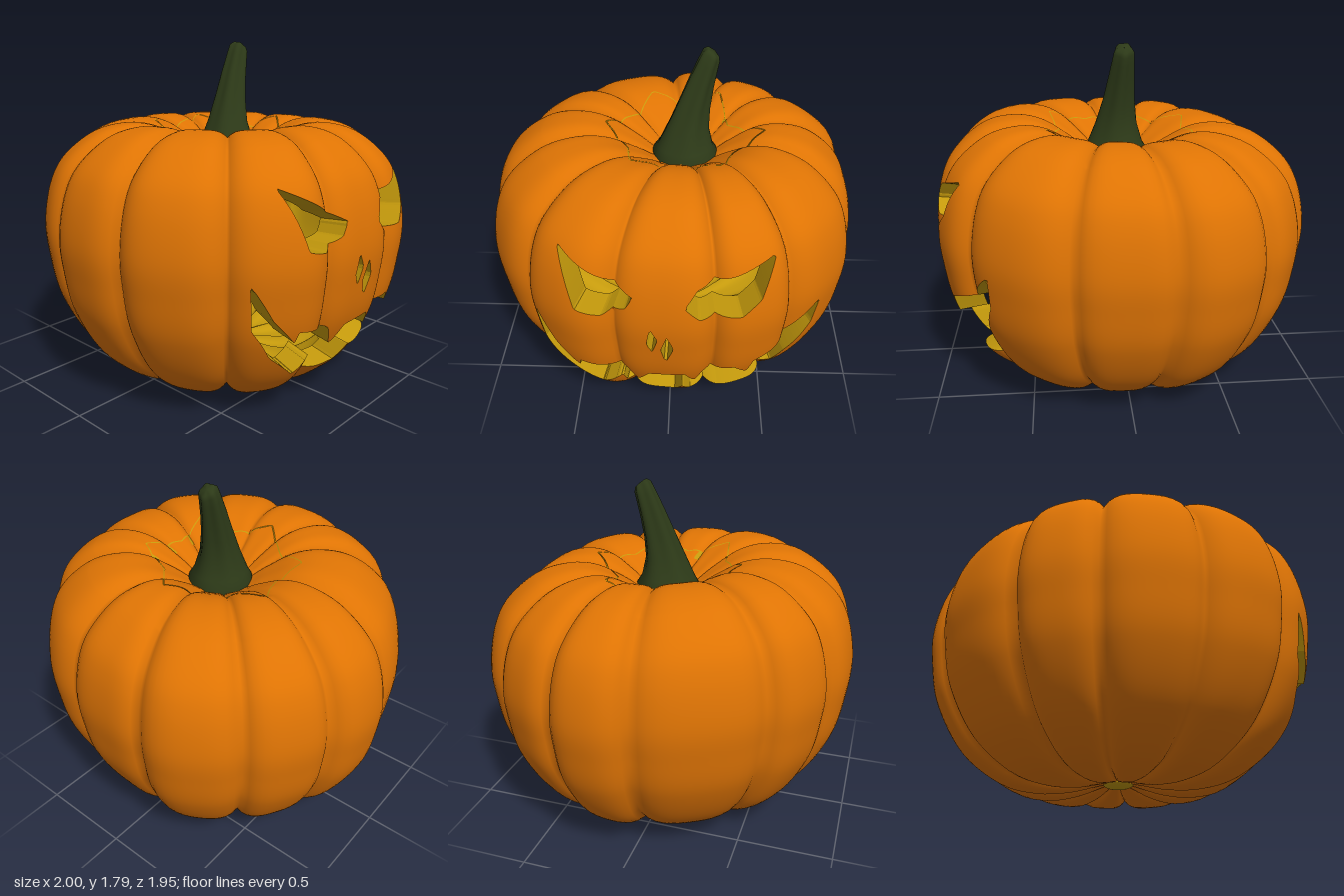
import * as THREE from 'three';
import { mergeVertices } from 'three/addons/utils/BufferGeometryUtils.js';

const ORANGE = new THREE.MeshStandardMaterial({ color: 0xdf7404 });
const YELLOW = new THREE.MeshStandardMaterial({ color: 0xc59a0c });
const GREEN = new THREE.MeshStandardMaterial({ color: 0x2d3a18 });
const CENTRE = new THREE.Vector3(0.03, 0.7, -0.06);
const INNER = new THREE.Vector3(0.83, 0.94, 0.93); // the cavity is the skin shrunk toward the centre
const SEAM = 0.003; // half the gap around the lid

// Groove directions in degrees (0 = +x, 90 = +z) and the radius of the lobe after each groove
const GROOVES = [-162, -136, -104, -73, -35, -10, 19, 48, 78, 107, 132, 173, 198];
const LOBES = [1.0, 0.99, 0.91, 0.945, 0.97, 0.97, 1.055, 1.05, 1.03, 1.01, 0.985, 1.03];

// Lobe crest, from the bottom centre to the top centre (radius, height)
const PROFILE = new THREE.SplineCurve([
  [0.01, 0.07], [0.1, 0.05], [0.25, 0.015], [0.42, 0.01], [0.6, 0.06], [0.8, 0.22],
  [0.94, 0.47], [0.99, 0.7], [1, 0.88], [0.96, 1.08], [0.88, 1.22], [0.72, 1.34],
  [0.55, 1.38], [0.4, 1.36], [0.25, 1.28], [0.14, 1.21], [0.01, 1.2],
].map(([r, y]) => new THREE.Vector2(r, y)));

// Face cut-outs on the +x side (z, y)
const FACE = [
  [[0.5, 1.22], [0.28, 1.1], [0.155, 1.03], [0.19, 0.965], [0.3, 0.91], [0.425, 0.94]],
  [[-0.08, 0.99], [-0.135, 1.075], [-0.26, 1.11], [-0.49, 1.18], [-0.43, 0.99], [-0.345, 0.915], [-0.15, 0.915]],
  [[0.08, 0.865], [0.045, 0.79], [0.07, 0.7], [0.097, 0.755]],
  [[0, 0.82], [-0.03, 0.73], [0.008, 0.62], [0.03, 0.72]],
  [[0.645, 0.81], [0.55, 0.63], [0.435, 0.495], [0.43, 0.555], [0.36, 0.54], [0.2, 0.51], [0.15, 0.39],
    [0.095, 0.49], [-0.085, 0.505], [-0.13, 0.405], [-0.17, 0.5], [-0.325, 0.53], [-0.39, 0.45],
    [-0.42, 0.555], [-0.55, 0.61], [-0.745, 0.79], [-0.72, 0.62], [-0.6, 0.405], [-0.545, 0.265],
    [-0.255, 0.21], [-0.115, 0.2], [-0.07, 0.315], [-0.03, 0.21], [0.165, 0.23], [0.22, 0.24],
    [0.235, 0.36], [0.34, 0.275], [0.51, 0.42], [0.615, 0.58]],
];

// Star-shaped lid outline (x, z)
const LID = [[0.04, -0.48], [0.2, -0.31], [0.4, -0.24], [0.33, -0.03], [0.385, 0.2], [0.18, 0.23],
  [0, 0.36], [-0.17, 0.2], [-0.365, 0.13], [-0.33, -0.03], [-0.395, -0.25], [-0.13, -0.29]];

// Signed distance to a polygon, negative inside
function distanceTo(poly, px, py) {
  let best = Infinity, inside = false;
  poly.forEach(([ax, ay], i) => {
    const [bx, by] = poly[(i + 1) % poly.length];
    const ex = bx - ax, ey = by - ay;
    const t = THREE.MathUtils.clamp(((px - ax) * ex + (py - ay) * ey) / (ex * ex + ey * ey), 0, 1);
    best = Math.min(best, Math.hypot(px - ax - t * ex, py - ay - t * ey));
    if ((ay > py) !== (by > py) && px < ax + ((py - ay) * ex) / ey) inside = !inside;
  });
  return inside ? -best : best;
}

// Point on the skin: lobe i, position s across it (-1..1), crest point c
function skinPoint(i, s, c) {
  const n = LOBES.length;
  const angle = THREE.MathUtils.degToRad(THREE.MathUtils.lerp(GROOVES[i], GROOVES[i + 1], (s + 1) / 2));
  const next = LOBES[(i + (s < 0 ? n - 1 : 1)) % n];
  const lobe = THREE.MathUtils.lerp(LOBES[i], (LOBES[i] + next) / 2, s * s);
  const k = 1 - 0.062 * Math.abs(s) ** 4 * Math.min(1, c.x / 0.3);
  const r = c.x * lobe * k;
  const lean = 0.035 * c.x * c.y * (Math.cos(angle) + Math.sin(angle)) / 1.4;
  return new THREE.Vector3(
    CENTRE.x + r * Math.cos(angle), 0.7 + (c.y - 0.7) * k + lean, CENTRE.z + r * Math.sin(angle));
}

// Grid of skin points, finer around the face
function skinGrid() {
  const crest = [];
  for (let seg = 0; seg < 16; seg++) {
    const n = seg >= 4 && seg < 11 ? 10 : 4;
    for (let k = 0; k < n; k++) crest.push(PROFILE.getPoint((seg + k / n) / 16));
  }
  crest.push(PROFILE.getPoint(1));
  const columns = [];
  LOBES.forEach((_, i) => {
    const n = i >= 3 && i <= 7 ? 34 : 14;
    for (let k = 0; k < n; k++) columns.push(crest.map((c) => skinPoint(i, (2 * k) / n - 1, c)));
  });
  for (const column of columns) {
    for (const p of column) {
      p.lid = p.y > 0.9 ? distanceTo(LID, p.x, p.z) : 1;
      p.face = p.x > 0.3 ? Math.min(...FACE.map((f) => distanceTo(f, p.z, p.y))) : 1;
    }
  }
  return columns;
}

const inward = (p) => p.clone().sub(CENTRE).multiply(INNER).add(CENTRE);

function triangles(points, smooth) {
  let g = new THREE.BufferGeometry().setFromPoints(points);
  if (smooth) g = mergeVertices(g, 1e-5);
  g.computeVertexNormals();
  return g;
}

// Keeps the part of the skin where keep(p) >= 0, with cavity side and cut walls
function carve(columns, keep, name) {
  const outer = [], inner = [], walls = [];
  const addTriangle = (corners) => {
    const poly = [];
    let exit, entry;
    corners.forEach((a, i) => {
      const b = corners[(i + 1) % 3], ka = keep(a), kb = keep(b);
      if (ka >= 0) poly.push(a);
      if ((ka >= 0) !== (kb >= 0)) {
        const cut = a.clone().lerp(b, ka / (ka - kb));
        poly.push(cut);
        if (ka >= 0) exit = cut; else entry = cut;
      }
    });
    for (let i = 1; i + 1 < poly.length; i++) {
      outer.push(poly[0], poly[i], poly[i + 1]);
      inner.push(inward(poly[0]), inward(poly[i + 1]), inward(poly[i]));
    }
    if (exit) {
      const p = inward(exit), q = inward(entry);
      walls.push(exit, p, q, exit, q, entry);
    }
  };
  columns.forEach((col, i) => {
    const next = columns[(i + 1) % columns.length];
    for (let j = 0; j + 1 < col.length; j++) {
      addTriangle([col[j], col[j + 1], next[j + 1]]);
      addTriangle([col[j], next[j + 1], next[j]]);
    }
  });
  const group = new THREE.Group();
  group.name = name;
  group.add(part('skin', triangles(outer, true), ORANGE));
  group.add(part('cavity', triangles(inner, true), YELLOW));
  group.add(part('cutWalls', triangles(walls, false), YELLOW));
  return group;
}

function part(name, geometry, material) {
  const mesh = new THREE.Mesh(geometry, material);
  mesh.name = name;
  return mesh;
}

// Ribbed, leaning stem: rings of [x, y, z, radius, tilt], closed by a rounded cap
function stemGeometry() {
  const rings = [[0.03, 1.18, -0.06, 0.165, 0], [0.03, 1.23, -0.06, 0.17, 0], [0.03, 1.27, -0.06, 0.145, 0],
    [0.025, 1.38, -0.075, 0.105, 0.1], [0.015, 1.5, -0.105, 0.08, 0.25], [0.005, 1.62, -0.14, 0.065, 0.4],
    [-0.002, 1.71, -0.17, 0.055, 0.55], [-0.005, 1.755, -0.186, 0.05, 0.65],
    [-0.005, 1.772, -0.196, 0.037, 0.7], [-0.005, 1.775, -0.198, 0.001, 0.7]];
  const sides = 40;
  const loops = rings.map(([x, y, z, r, tilt], j) => Array.from({ length: sides }, (_, i) => {
    const a = (i / sides) * Math.PI * 2;
    const rr = r * (1 + 0.09 * Math.cos(5 * a + j * 0.25) * Math.min(1, Math.max(0, j - 1) / 3));
    return new THREE.Vector3(x + rr * Math.cos(a), y + rr * Math.sin(a) * Math.sin(tilt),
      z + rr * Math.sin(a) * Math.cos(tilt));
  }));
  const points = [];
  for (let j = 0; j + 1 < loops.length; j++) {
    for (let i = 0; i < sides; i++) {
      const n = (i + 1) % sides, lo = loops[j], hi = loops[j + 1];
      points.push(lo[i], hi[i], hi[n], lo[i], hi[n], lo[n]);
    }
  }
  return triangles(points, true);
}

export function createModel() {
  const model = new THREE.Group();
  model.name = 'carvedPumpkin';
  const columns = skinGrid();
  model.add(carve(columns, (p) => Math.min(p.face, p.lid - SEAM), 'body'));
  model.add(carve(columns, (p) => -p.lid - SEAM, 'lid'));
  model.add(part('stem', stemGeometry(), GREEN));

  // Blossom scar under the body
  const scar = part('blossomScar', new THREE.SphereGeometry(0.08, 24, 12), YELLOW);
  scar.scale.y = 0.3;
  scar.position.set(CENTRE.x, 0.06, CENTRE.z);
  model.add(scar);
  return model;
}
